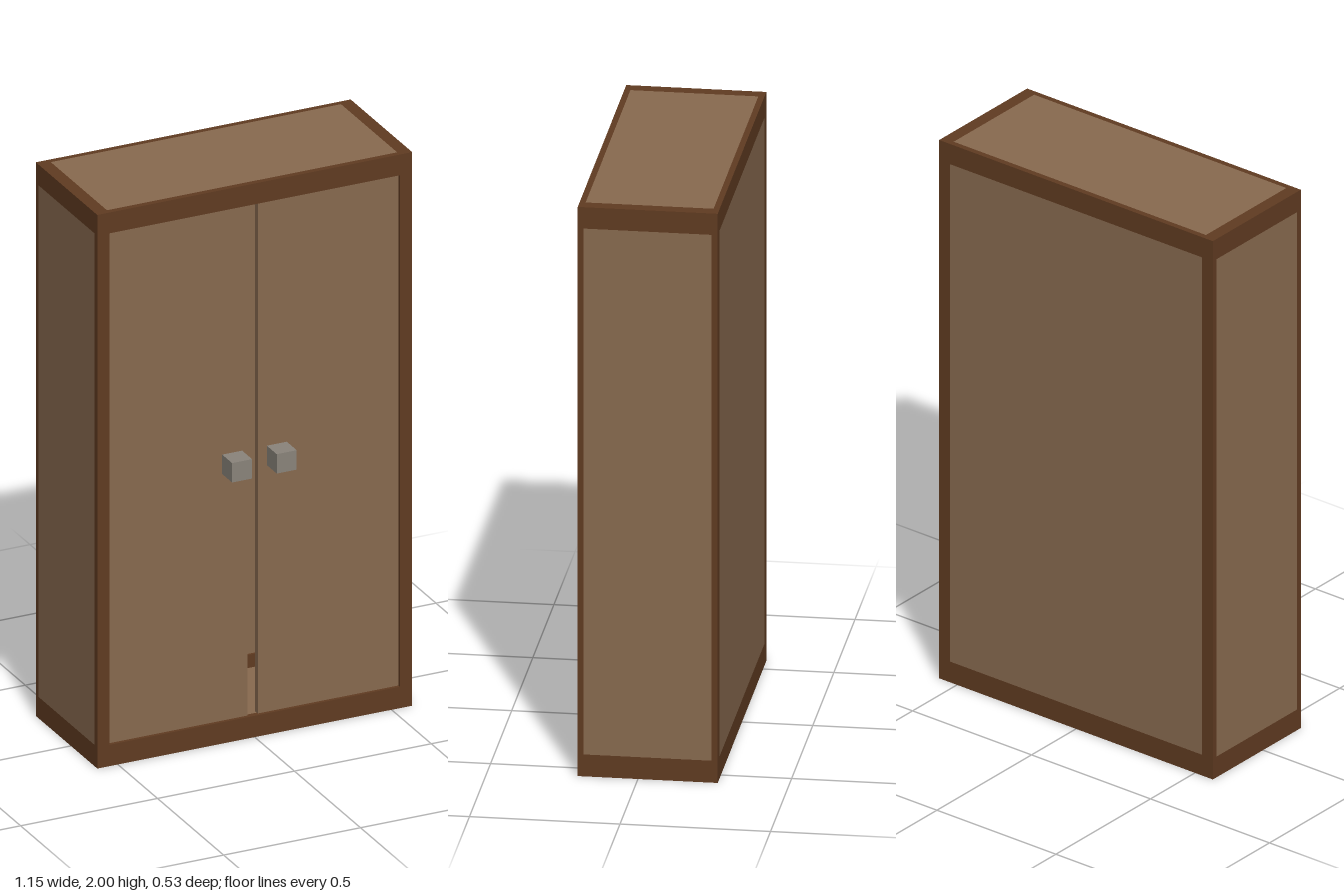
import * as THREE from 'three';

export function createModel() {
  const model = new THREE.Group();
  model.name = 'cabinet';

  const material = (name, color) => {
    const m = new THREE.MeshStandardMaterial({ color });
    m.name = name;
    return m;
  };
  const darkWood = material('dark wood', 0x603b21);
  const lightWood = material('light wood', 0x886a4f);
  const metal = material('grey metal', 0x8a847b);

  // Box given by its lower and upper corners
  const box = (name, mat, [x0, y0, z0], [x1, y1, z1], parent = model) => {
    const mesh = new THREE.Mesh(new THREE.BoxGeometry(x1 - x0, y1 - y0, z1 - z0), mat);
    mesh.position.set((x0 + x1) / 2, (y0 + y1) / 2, (z0 + z1) / 2);
    mesh.name = name;
    parent.add(mesh);
    return mesh;
  };

  // Outer and inner limits of the open frame
  const X = 0.575, x = 0.53;
  const Y0 = 0, y0 = 0.077, y1 = 1.925, Y1 = 2;
  const Z0 = -0.265, z0 = -0.245, z1 = 0.18, Z1 = 0.2;

  // Frame: corner posts, long rails and end rails
  const frame = new THREE.Group();
  frame.name = 'frame';
  model.add(frame);
  for (const [a, b] of [[-X, -x], [x, X]]) {
    for (const [c, d] of [[Z0, z0], [z1, Z1]])
      box('cornerPost', darkWood, [a, Y0, c], [b, Y1, d], frame);
    for (const [c, d] of [[Y0, y0], [y1, Y1]])
      box('endRail', darkWood, [a, c, z0], [b, d, z1], frame);
  }
  for (const [a, b] of [[Y0, y0], [y1, Y1]])
    for (const [c, d] of [[Z0, z0], [z1, Z1]])
      box('longRail', darkWood, [-x, a, c], [x, b, d], frame);

  // Panels, flush with the outside of the frame
  box('backPanel', lightWood, [-x, y0, Z0], [x, y1, Z0 + 0.012]);
  box('bottomPanel', lightWood, [-x, Y0, z0], [x, 0.03, z1]);
  box('topPanel', lightWood, [-x, Y1 - 0.03, z0], [x, Y1, z1]);
  box('rightPanel', lightWood, [-X, y0, z0], [-X + 0.025, y1, z1]);
  box('leftPanel', lightWood, [X - 0.025, y0, z0], [X, y1, z1]);

  // Doors, slightly recessed, with a narrow gap between them
  box('rightDoor', lightWood, [-x, y0, 0.168], [-0.02, y1, 0.188]);
  box('leftDoor', lightWood, [0.017, y0, 0.168], [x, y1, 0.188]);

  // Square knobs
  box('rightKnob', metal, [-0.113, 0.968, 0.188], [-0.04, 1.038, 0.263]);
  box('leftKnob', metal, [0.05, 0.968, 0.188], [0.123, 1.038, 0.263]);

  return model;
}
